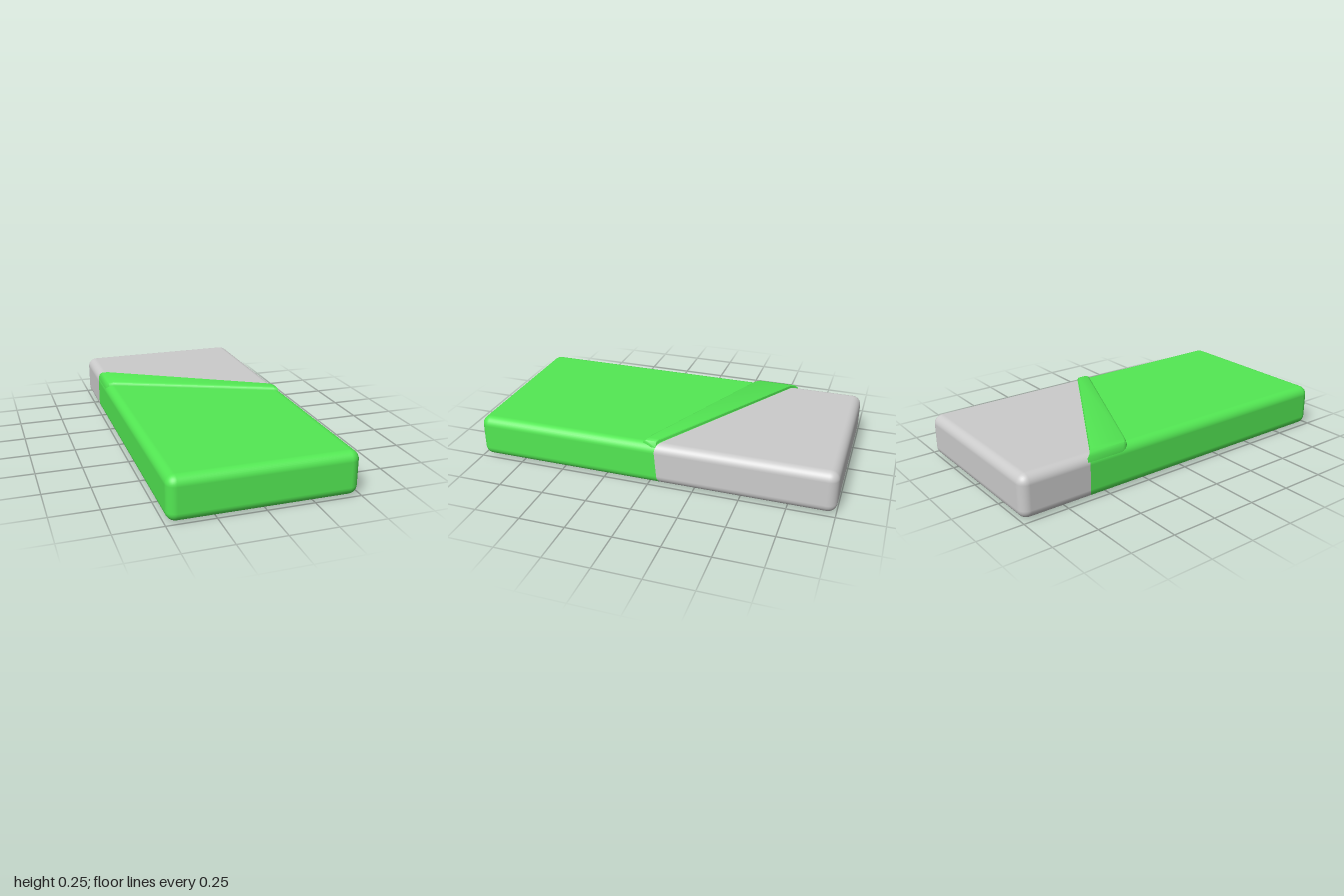
import * as THREE from 'three';
import { toCreasedNormals } from 'three/addons/utils/BufferGeometryUtils.js';
import { RoundedBoxGeometry } from 'three/addons/geometries/RoundedBoxGeometry.js';

const W = 0.98, H = 0.235, L = 2, R = 0.05;

// Slanted seam between the covered and the bare part of the slab.
const seamZ = (x, y) => -0.325 + 0.58 * x + 0.02 * (y / H - 0.5) * (x > 0 ? 1 : 0);

// One end of the rounded slab: vertices of the other end collapse onto the seam.
function slabPart(side) {
  const geo = new RoundedBoxGeometry(W, H, L, 4, R);
  geo.translate(0, H / 2, 0);
  const p = geo.attributes.position;
  for (let i = 0; i < p.count; i++) {
    if (p.getZ(i) * side < 0) p.setZ(i, seamZ(p.getX(i), p.getY(i)));
  }
  return geo;
}

// Folded strip: cross-sections [x, back z, front z, bottom y, top y] joined along x.
function foldGeometry() {
  const stations = [
    [-0.487, -0.62, -0.40, 0.17, 0.205],
    [-0.482, -0.62, -0.385, 0.18, 0.23],
    [-0.47, -0.6, -0.37, 0.2, 0.246],
    [-0.44, -0.578, -0.355, 0.21, 0.254],
    [0.44, -0.055, 0.028, 0.21, 0.254],
    [0.462, -0.042, 0.036, 0.2, 0.248],
    [0.478, -0.04, -0.01, 0.19, 0.225],
  ];
  const pos = [], idx = [], n = 7;
  for (const [x, zb, zf, y0, y1] of stations) {
    const h = Math.min(0.02, y1 - y0);
    const loop = [[zb, y0], [zb, y1 - 0.004], [zb + 0.004, y1], [zf - 0.018, y1],
      [zf - 0.006, y1 - h * 0.3], [zf, y1 - h], [zf, y0]];
    for (const [z, y] of loop) pos.push(x, y, z);
  }
  const last = (stations.length - 1) * n;
  for (let s = 0; s < last; s += n) {
    for (let i = 0; i < n; i++) {
      const a = s + i, b = s + (i + 1) % n;
      idx.push(a, b, a + n, b, b + n, a + n);
    }
  }
  for (let i = 1; i < n - 1; i++) {
    idx.push(0, i + 1, i, last, last + i, last + i + 1);
  }
  const geo = new THREE.BufferGeometry();
  geo.setAttribute('position', new THREE.Float32BufferAttribute(pos, 3));
  geo.setIndex(idx);
  return toCreasedNormals(geo, 0.7);
}

export function createModel() {
  const group = new THREE.Group();
  const grey = new THREE.MeshStandardMaterial({ color: 0xcccccc });
  const green = new THREE.MeshStandardMaterial({ color: 0x53e853 });
  const add = (name, geo, mat) => {
    const mesh = new THREE.Mesh(geo, mat);
    mesh.name = name;
    group.add(mesh);
    return mesh;
  };

  // Bare and covered halves
  add('mattress', slabPart(-1), grey).position.y = 0.001;
  add('blanket', slabPart(1), green).position.y = 0.001;

  // Turned-back edge of the cover
  add('blanketFold', foldGeometry(), green);

  // Flat grey underside
  const base = new THREE.PlaneGeometry(W - 2 * R + 0.02, L - 2 * R + 0.02);
  base.rotateX(Math.PI / 2);
  add('underside', base, grey);

  return group;
}
